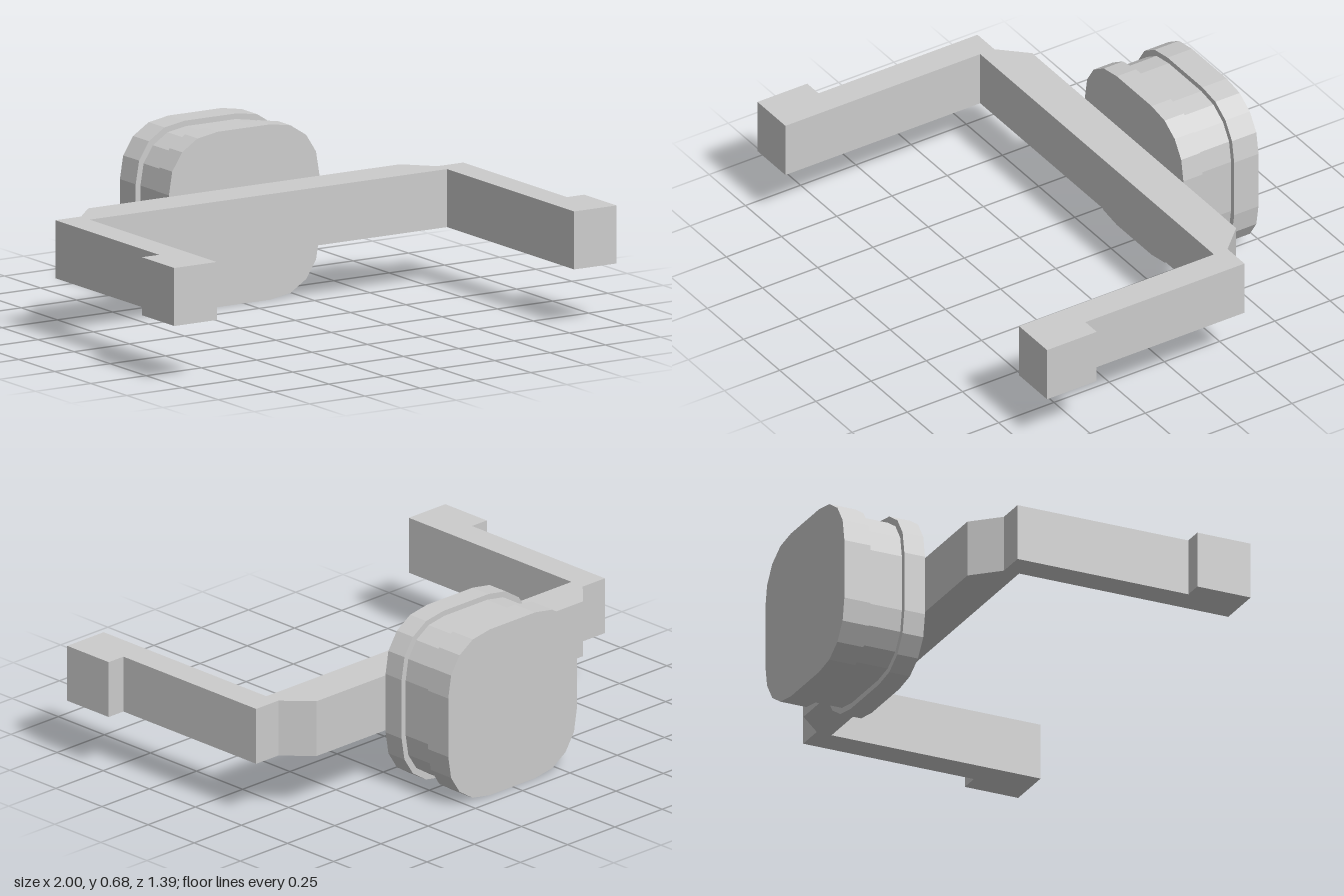
import * as THREE from 'three';

const material = new THREE.MeshStandardMaterial({ color: 0xcccccc, flatShading: true });

// Extrudes a closed outline along +z without bevels.
function extrude(points, depth) {
  const shape = new THREE.Shape(points.map(([x, y]) => new THREE.Vector2(x, y)));
  return new THREE.ExtrudeGeometry(shape, { depth, bevelEnabled: false });
}

function addMesh(group, name, geometry) {
  const mesh = new THREE.Mesh(geometry, material);
  mesh.name = name;
  group.add(mesh);
}

// Rounded square outline, built from one corner turned four times.
function roundedSquare(scale) {
  const corner = [[0.34, 0.12], [0.325, 0.21], [0.28, 0.28], [0.21, 0.325], [0.12, 0.34]];
  const points = [];
  for (let i = 0; i < 4; i++) {
    for (const [x, y] of corner) {
      const p = new THREE.Vector2(x, y).rotateAround(new THREE.Vector2(), i * Math.PI / 2);
      points.push([p.x * scale, p.y * scale]);
    }
  }
  return points;
}

export function createModel() {
  const model = new THREE.Group();

  // U-shaped bracket: half its plan outline (x, z), mirrored across x = 0
  const half = [
    [0.705, -0.355], [0.805, -0.25], [0.922, -0.25], [0.922, 0.47],
    [1, 0.47], [1, 0.695], [0.807, 0.695], [0.807, -0.187],
  ];
  const mirrored = half.map(([x, z]) => [-x, z]).reverse();
  const bracket = extrude([...half, ...mirrored], 0.225);
  bracket.rotateX(Math.PI / 2).translate(0, 0.456, 0);
  addMesh(model, 'bracket', bracket);

  // Grooved knob on the back: two flanges with a narrower neck between
  const knob = new THREE.Group();
  knob.name = 'knob';
  knob.position.y = 0.342;
  const sections = [
    ['innerFlange', -0.442, -0.355, 1],
    ['neck', -0.585, -0.442, 0.937],
    ['outerFlange', -0.695, -0.585, 1],
  ];
  for (const [name, back, front, scale] of sections) {
    addMesh(knob, name, extrude(roundedSquare(scale), front - back).translate(0, 0, back));
  }
  model.add(knob);

  return model;
}
